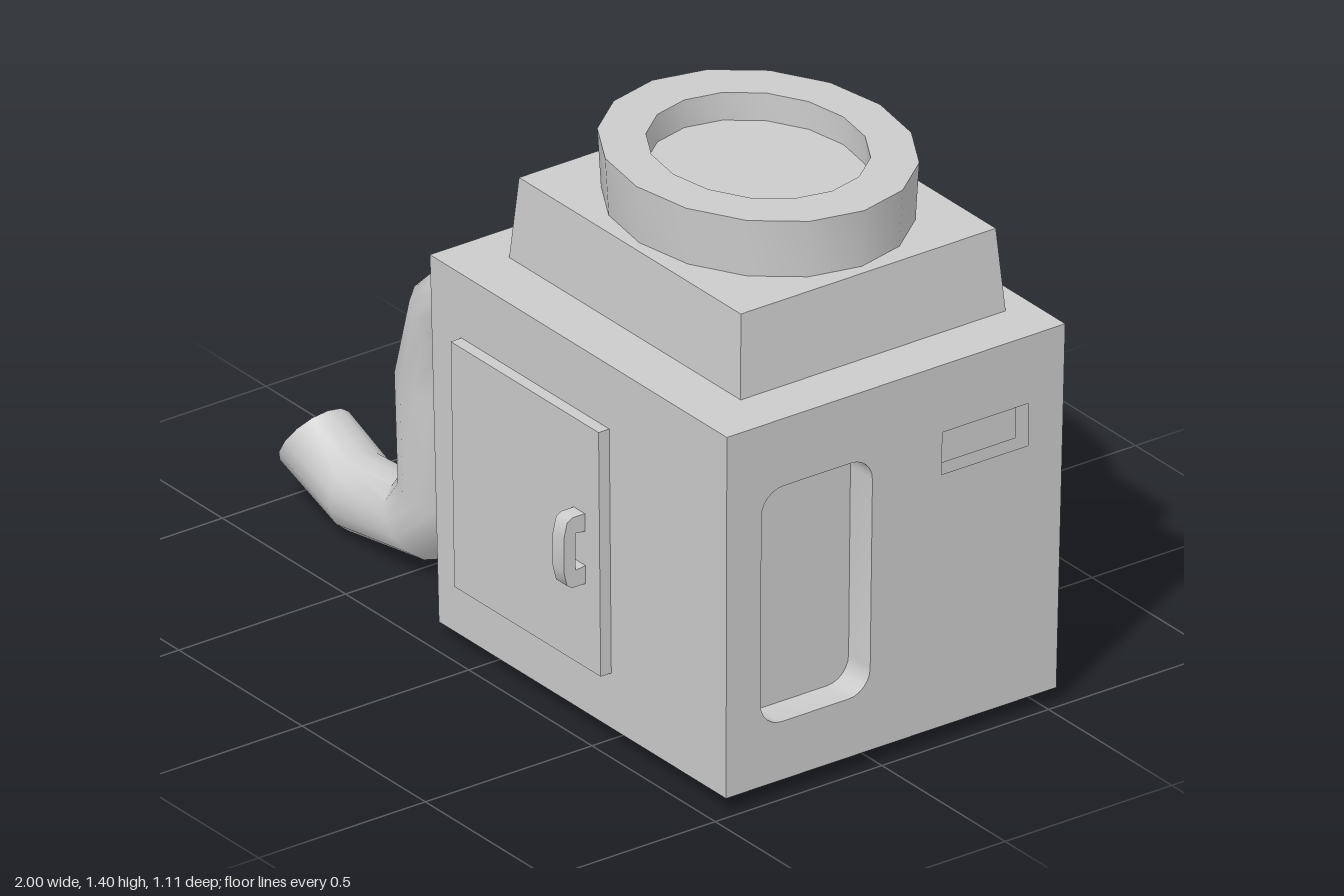
import * as THREE from 'three';
import { toCreasedNormals } from 'three/addons/utils/BufferGeometryUtils.js';

const material = new THREE.MeshStandardMaterial({ color: 0xcccccc });

function add(parent, name, geometry) {
  const mesh = new THREE.Mesh(toCreasedNormals(geometry, 0.75), material);
  mesh.name = name;
  parent.add(mesh);
  return mesh;
}

// Box given by its limits on each axis
function box(x0, x1, y0, y1, z0, z1) {
  return new THREE.BoxGeometry(x1 - x0, y1 - y0, z1 - z0)
    .translate((x0 + x1) / 2, (y0 + y1) / 2, (z0 + z1) / 2);
}

// Narrow x and z about (cx, cz), from full size at y1 to sx, sz at y0
function taper(geometry, y0, y1, cx, cz, sx, sz) {
  const p = geometry.attributes.position;
  for (let i = 0; i < p.count; i++) {
    const t = (y1 - p.getY(i)) / (y1 - y0);
    p.setX(i, cx + (p.getX(i) - cx) * (1 + (sx - 1) * t));
    p.setZ(i, cz + (p.getZ(i) - cz) * (1 + (sz - 1) * t));
  }
  return geometry;
}

// Extrude an outline drawn in (-z, y) along x
function extrudeX(shape, x0, x1) {
  return new THREE.ExtrudeGeometry(shape, { depth: x1 - x0, bevelEnabled: false, curveSegments: 3 })
    .rotateY(Math.PI / 2).translate(x0, 0, 0);
}

const outline = (points) => new THREE.Shape(points.map(([z, y]) => new THREE.Vector2(-z, y)));
const rect = (z0, z1, y0, y1) => outline([[z0, y0], [z1, y0], [z1, y1], [z0, y1]]);

function roundedRect(z0, z1, y0, y1, r) {
  const s = new THREE.Shape();
  const corners = [[-z0 - r, y1 - r], [-z1 + r, y1 - r], [-z1 + r, y0 + r], [-z0 - r, y0 + r]];
  corners.forEach(([x, y], i) => s.absarc(x, y, r, i * Math.PI / 2, (i + 1) * Math.PI / 2));
  return s;
}

// Bent pipe: each section is [outer x, outer y, inner x, inner y] of the bend
function pipeGeometry(sections, zc, rz, sides) {
  const pos = [], index = [];
  sections.forEach(([ax, ay, bx, by, scale = 1]) => {
    for (let j = 0; j < sides; j++) {
      const a = j / sides * Math.PI * 2, c = Math.cos(a) * scale, s = Math.sin(a) * scale;
      pos.push((ax + bx) / 2 + c * (ax - bx) / 2, (ay + by) / 2 + c * (ay - by) / 2, zc + s * rz);
    }
  });
  for (let i = 0; i < sections.length - 1; i++) {
    for (let j = 0; j < sides; j++) {
      const k = (j + 1) % sides;
      const a = i * sides + j, b = i * sides + k, c = a + sides, d = b + sides;
      index.push(a, c, b, b, c, d);
    }
  }
  const g = new THREE.BufferGeometry();
  g.setAttribute('position', new THREE.Float32BufferAttribute(pos, 3));
  g.setIndex(index);
  return g;
}

export function createModel() {
  const model = new THREE.Group();
  model.name = 'cabinetWithPipe';

  // Main body: a core between two side panels with recesses cut through them
  const body = new THREE.Group();
  body.name = 'body';
  model.add(body);
  const [x0, x1, y0, y1, z0, z1] = [-0.205, 1, 0.04, 1.03, -0.55, 0.465];
  const xl = x0 + 0.08, xr = x1 - 0.09;
  const bodyTaper = (g) => taper(g, y0, y1, (x0 + x1) / 2, (z0 + z1) / 2, 0.967, 0.976);

  const windowSide = rect(z0, z1, y0, y1);
  windowSide.holes.push(roundedRect(0.025, 0.36, 0.2, 0.845, 0.065), rect(-0.445, -0.185, 0.73, 0.845));

  const portSide = rect(z0, z1, y0, y1);
  const port = [];
  for (let i = 0; i < 8; i++) {
    const a = (i + 0.5) * Math.PI / 4;
    port.push([-0.31 + Math.cos(a) * 0.14, 0.56 + Math.sin(a) * 0.14]);
  }
  portSide.holes.push(outline(port));

  add(body, 'core', bodyTaper(box(xl, xr, y0, y1, z0, z1)));
  add(body, 'windowSidePanel', bodyTaper(extrudeX(windowSide, xr, x1)));
  add(body, 'portSidePanel', bodyTaper(extrudeX(portSide, x0, xl)));
  add(body, 'slotFloor', bodyTaper(box(xr, x1 - 0.05, 0.73, 0.845, -0.445, -0.185)));

  // Stepped top
  add(model, 'topStep', taper(box(-0.06, 0.84, 1.03, 1.25, -0.46, 0.305), 1.03, 1.25, 0.39, -0.0775, 1.044, 1.039));

  // Oval collar with a sunken floor
  const profile = [[0.42, 1.25], [0.43, 1.405], [0.3, 1.405], [0.3, 1.33], [0, 1.33]]
    .map(([r, y]) => new THREE.Vector2(r, y));
  add(model, 'collar', new THREE.LatheGeometry(profile, 16).scale(1, 1, 0.85).translate(0.39, 0, -0.08));

  // Door and its handle
  add(model, 'door', taper(box(-0.08, 0.52, 0.19, 0.855, 0.43, 0.495), 0.19, 0.855, 0.22, 0, 0.99, 0.983));
  const handle = outline([[0.48, 0.61], [0.53, 0.61], [0.545, 0.6], [0.555, 0.56], [0.555, 0.47], [0.545, 0.43],
    [0.53, 0.42], [0.48, 0.42], [0.48, 0.47], [0.52, 0.465], [0.52, 0.565], [0.48, 0.56]]);
  add(model, 'doorHandle', extrudeX(handle, 0.415, 0.46));

  // Pipe, with its hollow mouth closed further in
  add(model, 'pipe', pipeGeometry([
    [-0.18, 0.94, -0.18, 0.74],
    [-0.345, 0.925, -0.25, 0.74],
    [-0.49, 0.79, -0.3, 0.66],
    [-0.56, 0.55, -0.32, 0.53],
    [-0.545, 0.26, -0.31, 0.22],
    [-0.58, 0.213, -0.435, 0.05],
    [-0.75, 0.205, -0.75, 0],
    [-0.89, 0.265, -1, 0.085],
    [-0.89, 0.265, -1, 0.085, 0.75],
    [-0.8, 0.225, -0.85, 0.035, 0.75],
    [-0.8, 0.225, -0.85, 0.035, 0],
  ], 0.265, 0.1, 14));

  return model;
}
